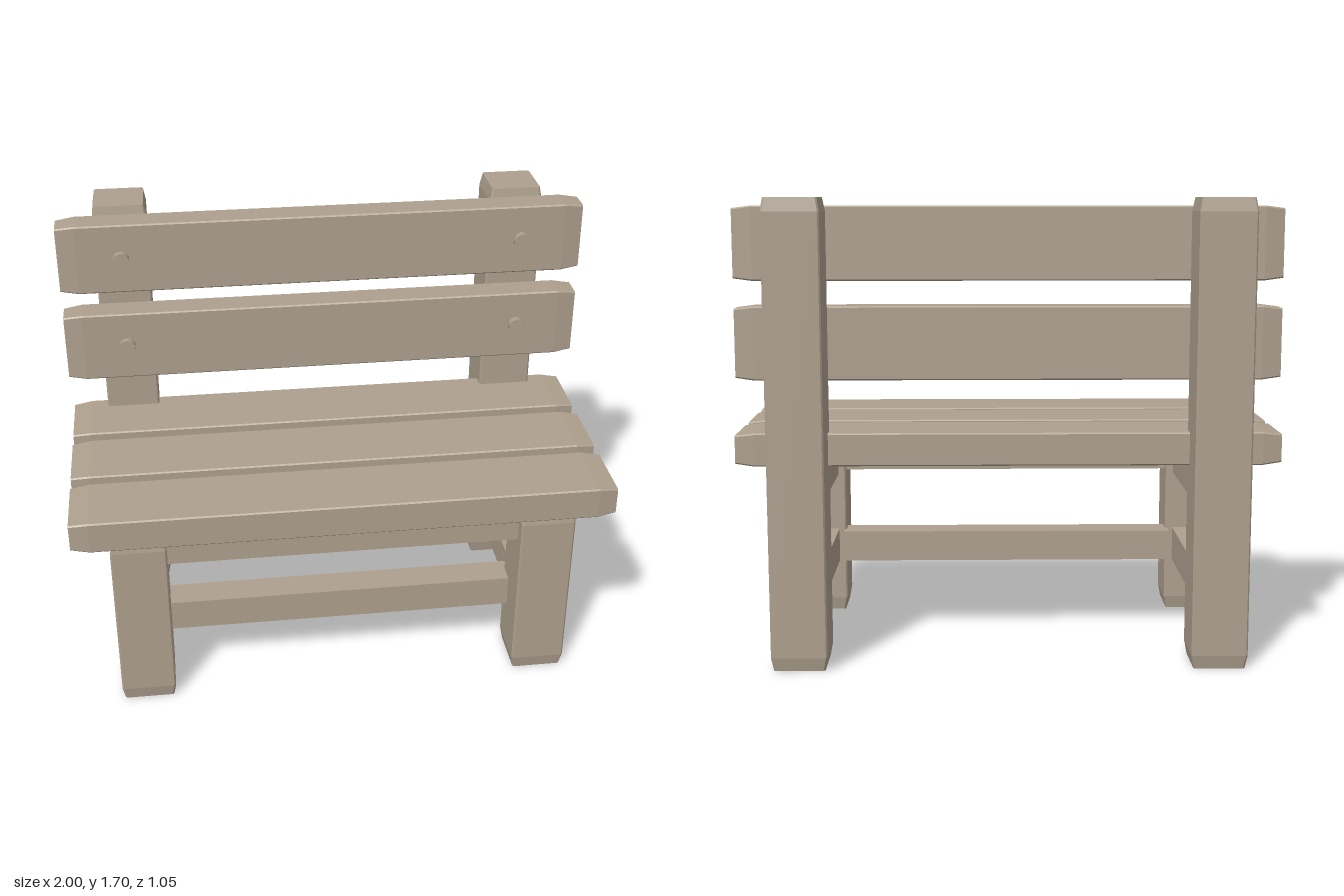
import * as THREE from 'three';

const wood = new THREE.MeshStandardMaterial({ color: 0xaea08e });
wood.name = 'weathered wood';

// Timber along y: bevelled long edges, ends narrowing over the last stretch
function timber(w, len, d, taper, inset, bevel) {
  const g = new THREE.CylinderGeometry(1, 1, len, 8, 3, false, Math.PI / 8);
  const p = g.attributes.position;
  for (let i = 0; i < p.count; i++) {
    const x = p.getX(i), y = p.getY(i), z = p.getZ(i);
    const end = Math.abs(y) > len * 0.4;
    const s = end ? inset : 0;
    const ny = Math.sign(y) * (end ? len / 2 : len / 2 - taper);
    const wide = Math.abs(x) > Math.abs(z);
    const centre = Math.hypot(x, z) < 0.01;
    const hx = w / 2 - s - (wide ? 0 : bevel);
    const hz = d / 2 - s - (wide ? bevel : 0);
    p.setXYZ(i, centre ? 0 : Math.sign(x) * hx, ny, centre ? 0 : Math.sign(z) * hz);
  }
  const flat = g.toNonIndexed();
  flat.computeVertexNormals();
  return flat;
}

export function createModel() {
  const bench = new THREE.Group();
  bench.name = 'bench';

  function add(name, geometry, x, y, z) {
    const mesh = new THREE.Mesh(geometry, wood);
    mesh.name = name;
    mesh.position.set(x, y, z);
    bench.add(mesh);
  }
  // Upright timber, by its height and z range
  function post(name, x, top, z0, z1) {
    add(name, timber(0.205, top, z1 - z0, 0.05, 0.009, 0.006), x, top / 2, (z0 + z1) / 2);
  }
  // Full-width plank, by its y and z ranges
  function plank(name, y0, y1, z0, z1) {
    const g = timber(y1 - y0, 2, z1 - z0, 0.07, 0.009, 0.005).rotateZ(Math.PI / 2);
    add(name, g, 0, (y0 + y1) / 2, (z0 + z1) / 2);
  }
  // Plain rail, by its ranges
  function rail(name, x0, x1, y0, y1, z0, z1) {
    add(name, new THREE.BoxGeometry(x1 - x0, y1 - y0, z1 - z0),
      (x0 + x1) / 2, (y0 + y1) / 2, (z0 + z1) / 2);
  }

  // Seat planks
  for (const z of [-0.38, -0.06, 0.257]) plank('seatPlank', 0.728, 0.85, z, z + 0.271);

  // Backrest planks
  plank('upperBackPlank', 1.4, 1.67, -0.323, -0.21);
  plank('lowerBackPlank', 1.037, 1.308, -0.323, -0.21);

  for (const side of [-1, 1]) {
    const label = side > 0 ? 'left' : 'right';
    // Legs and back posts
    post(label + 'FrontLeg', side * 0.763, 0.73, 0.27, 0.48);
    post(label + 'BackPost', side * 0.763, 1.7, -0.526, -0.322);
    // Side rails running front to back
    const x = side * 0.765;
    rail(label + 'UpperSideRail', x - 0.075, x + 0.075, 0.575, 0.728, -0.33, 0.28);
    rail(label + 'LowerSideRail', x - 0.075, x + 0.075, 0.212, 0.345, -0.33, 0.28);
    // Bolt heads on the backrest
    for (const y of [1.175, 1.535]) {
      const bolt = new THREE.CylinderGeometry(0.032, 0.032, 0.035, 10).rotateX(Math.PI / 2);
      add(label + 'Bolt', bolt.toNonIndexed(), side * 0.765, y, -0.2025);
    }
  }

  // Rails between the front legs
  rail('upperFrontRail', -0.67, 0.67, 0.587, 0.718, 0.31, 0.43);
  rail('lowerFrontRail', -0.67, 0.67, 0.22, 0.342, 0.228, 0.345);

  return bench;
}
